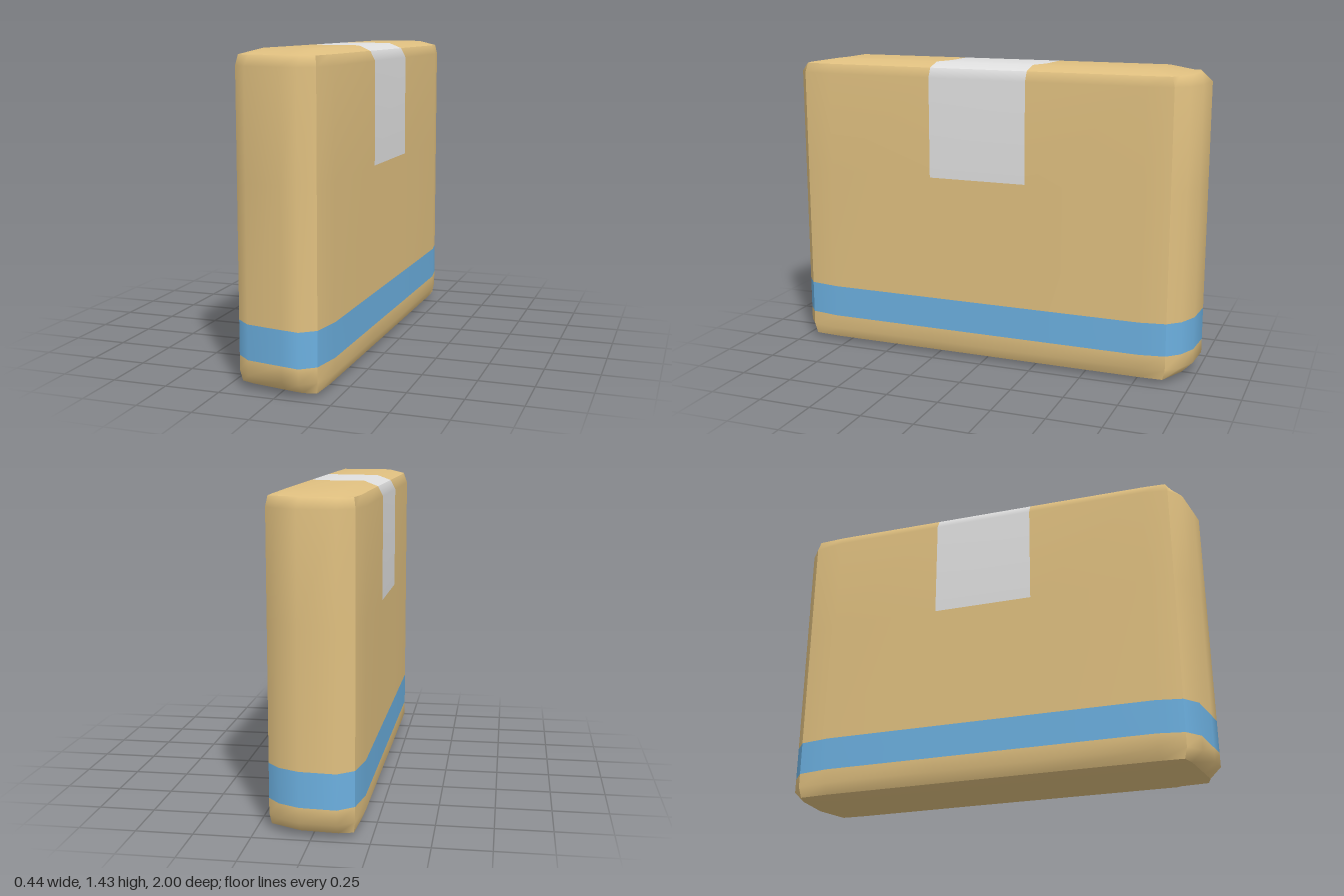
import * as THREE from 'three';

const cardboard = new THREE.MeshStandardMaterial({ color: 0xe0c080 });
cardboard.name = 'cardboard';
const stripe = new THREE.MeshStandardMaterial({ color: 0x6cb0e0 });
stripe.name = 'blue stripe';
const tape = new THREE.MeshStandardMaterial({ color: 0xe0e0e0 });
tape.name = 'grey tape';
const materials = [cardboard, stripe, tape];

// Heights of the wall rows; the first and last rows are pulled in for the soft edges
const levels = [0.02, 0.07, 0.137, 0.292, 0.89, 1.365, 1.41];
const HEIGHT = 1.434;

// Plan outline as [x, z], one list per wall, running from corner to corner
const rightWall = [[0.195, -0.89], [0.215, -0.77], [0.21, -0.21], [0.205, 0.27], [0.2, 0.8], [0.175, 0.945]];
const leftWall = rightWall.map(([x, z]) => [-x - 0.005, -z]);
const frontEnd = [[0.11, 0.997], [0.03, 0.982], [-0.135, 0.95]];
const backEnd = [[-0.11, -1], [0.05, -0.99], [0.14, -0.95]];
const frontWall = [rightWall[5], ...frontEnd, leftWall[0]];
const backWall = [leftWall[5], ...backEnd, rightWall[0]];

// Plan point pulled in towards the middle for the top and bottom edges
function inset([x, z]) {
  const ends = Math.abs(z) > 0.82;
  const corner = ends && Math.abs(x) > 0.15;
  return [x * (corner ? 0.96 : ends ? 1 : 0.89), ends ? z - Math.sign(z) * (corner ? 0.012 : 0.05) : z];
}

// Smooth patch from rows of points, one material per cell
function patch(name, rows, pick, flip = false) {
  const cols = rows[0].length;
  const geometry = new THREE.BufferGeometry();
  geometry.setAttribute('position', new THREE.Float32BufferAttribute(rows.flat(2), 3));
  const index = [];
  for (let i = 0; i < rows.length - 1; i++) {
    for (let j = 0; j < cols - 1; j++) {
      const a = i * cols + j, b = a + 1, c = a + cols, d = c + 1;
      geometry.addGroup(index.length, 6, pick(i, j));
      index.push(...(flip ? [a, b, c, b, d, c] : [a, c, b, b, c, d]));
    }
  }
  geometry.setIndex(index);
  geometry.computeVertexNormals();
  const mesh = new THREE.Mesh(geometry, materials);
  mesh.name = name;
  return mesh;
}

// Upright wall following one stretch of the outline
function wall(name, outline, taped) {
  const rows = levels.map((y, i) => outline.map((p) => {
    const [x, z] = i === 0 || i === levels.length - 1 ? inset(p) : p;
    return [x, y, z];
  }));
  return patch(name, rows, (i, j) => (i === 2 ? 1 : taped && j === 2 && i >= 4 ? 2 : 0));
}

// Slightly domed top or bottom, with rows running from back to front
function cap(name, edgeY, middleY, taped, flip) {
  const lefts = [...leftWall].reverse();
  const rows = rightWall.map((r, i) => {
    const [lx, lz] = inset(lefts[i]);
    const [rx, rz] = inset(r);
    const end = i === 0 ? backEnd : i === 5 ? [...frontEnd].reverse() : null;
    const middle = end
      ? end.map((p) => { const [x, z] = inset(p); return [x, edgeY, z]; })
      : [[-0.125, 0.06], [0.03, 0.25], [0.125, 0.87]].map(([x, t]) => [x, middleY, lz + (rz - lz) * t]);
    return [[lx, edgeY, lz], ...middle, [rx, edgeY, rz]];
  });
  return patch(name, rows, (i) => (taped && i === 2 ? 2 : 0), flip);
}

export function createModel() {
  const box = new THREE.Group();
  box.name = 'cardboardBox';
  box.add(
    wall('rightWall', rightWall, true),
    wall('frontWall', frontWall, false),
    wall('leftWall', leftWall, true),
    wall('backWall', backWall, false),
    cap('top', levels[6], HEIGHT, true, false),
    cap('bottom', levels[0], 0, false, true),
  );
  return box;
}
